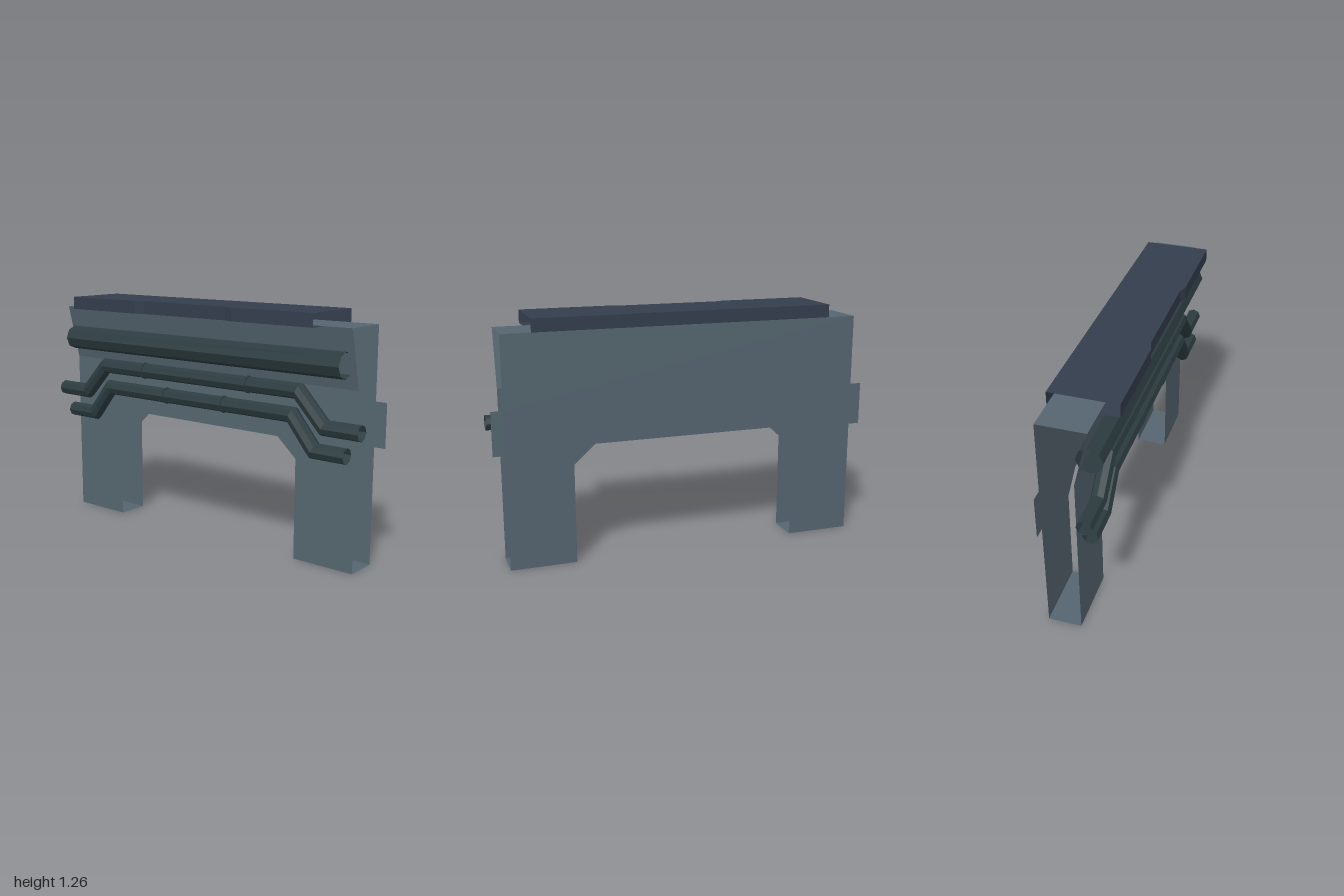
import * as THREE from 'three';

const paint = (color) => new THREE.MeshStandardMaterial({ color, flatShading: true, side: THREE.DoubleSide });
const SIDES = 8;
const BACK = -0.17, LIP = 0.07, TOP = 1.195, SLOPE = 0.9;

function add(group, name, geometry, material) {
  const mesh = new THREE.Mesh(geometry, material);
  mesh.name = name;
  group.add(mesh);
  return mesh;
}

// Flat sheet in the xy plane from half an outline (x > 0), mirrored to the other side
function sheet(half, z) {
  const mirrored = half.map(([x, y]) => [-x, y]).reverse();
  const shape = new THREE.Shape([...half, ...mirrored].map(([x, y]) => new THREE.Vector2(x, y)));
  return new THREE.ShapeGeometry(shape).translate(0, 0, z);
}

// Ruled strip between two rows of points
function strip(rowA, rowB) {
  const pos = [], index = [], n = rowA.length;
  [...rowA, ...rowB].forEach((p) => pos.push(...p));
  for (let i = 0; i < n - 1; i++) index.push(i, i + 1, n + i, i + 1, n + i + 1, n + i);
  const g = new THREE.BufferGeometry();
  g.setAttribute('position', new THREE.Float32BufferAttribute(pos, 3));
  g.setIndex(index);
  g.computeVertexNormals();
  return g;
}

// Open octagonal pipe along a path in the xy plane, with mitred bends
function pipe(points, radius, z) {
  const path = points.map(([x, y]) => new THREE.Vector2(x, y));
  const pos = [], index = [];
  path.forEach((p, i) => {
    const into = p.clone().sub(path[Math.max(i - 1, 0)]).normalize();
    const out = path[Math.min(i + 1, path.length - 1)].clone().sub(p).normalize();
    const t = into.clone().add(out).normalize();
    const cos = i === 0 || i === path.length - 1 ? 1 : t.dot(out);
    for (let k = 0; k < SIDES; k++) {
      const a = (k / SIDES) * Math.PI * 2;
      const u = (Math.cos(a) * radius) / cos;
      pos.push(p.x - t.y * u, p.y + t.x * u, z + Math.sin(a) * radius);
      if (i > 0) {
        const k2 = (k + 1) % SIDES, r0 = (i - 1) * SIDES, r1 = i * SIDES;
        index.push(r0 + k, r0 + k2, r1 + k, r0 + k2, r1 + k2, r1 + k);
      }
    }
  });
  const g = new THREE.BufferGeometry();
  g.setAttribute('position', new THREE.Float32BufferAttribute(pos, 3));
  g.setIndex(index);
  g.computeVertexNormals();
  return g;
}

export function createModel() {
  const model = new THREE.Group();
  model.name = 'archWall';
  const wall = paint(0x55656f), dark = paint(0x2c3c40), navy = paint(0x343d4d);

  // Front and back wall sheets, with the arch opening between the legs
  const arch = [[0.49, 0.62], [0.6, 0.52], [0.6, 0], [0.94, 0]];
  const tab = [[0.94, 0.6], [1, 0.6], [1, 0.825], [0.94, 0.825]];
  const body = new THREE.Group();
  body.name = 'body';
  model.add(body);
  add(body, 'frontWall', sheet([...arch, [0.94, SLOPE]], 0), wall);
  add(body, 'backWall', sheet([...arch, ...tab, [0.94, TOP]], BACK), wall);

  // Leaning upper front and the top; the ends stay open
  const row = (x, y, z) => [[-x, y, z], [x, y, z]];
  add(body, 'leaningPanel', strip(row(0.94, TOP, LIP), row(0.94, SLOPE, 0)), wall);
  add(body, 'topPanel', strip(row(0.94, TOP, BACK), row(0.94, TOP, LIP)), wall);

  // Feet under the legs
  for (const s of [-1, 1]) {
    const foot = (z) => [[s * 0.77 - 0.17, 0, z], [s * 0.77 + 0.17, 0, z]];
    add(body, 'foot', strip(foot(0), foot(BACK)), wall);
  }

  // Cap with a shallow recess along its front edge
  const cap = new THREE.Group();
  cap.name = 'cap';
  model.add(cap);
  const front = [[-0.79, 0.167], [-0.32, 0.167], [-0.27, 0.15], [0.27, 0.15], [0.32, 0.167], [0.79, 0.167]];
  const edge = (y, z) => front.map(([x, zf]) => [x, y, z ?? zf]);
  const capTop = 1.262;
  add(cap, 'capTop', strip(edge(capTop, BACK), edge(capTop)), navy);
  add(cap, 'capFront', strip(edge(capTop), edge(TOP)), navy);
  add(cap, 'capUnderside', strip(edge(TOP), edge(TOP, LIP)), navy);
  add(cap, 'capBack', strip(edge(TOP, BACK), edge(capTop, BACK)), navy);

  // Straight thick pipe and two bent pipes with joint rings
  add(model, 'thickPipe', pipe([[-0.905, 1.02], [0.905, 1.02]], 0.065, 0.06), dark);
  const bent = [
    { name: 'upperPipe', end: 1, low: 0.8, high: 0.65, y: 0.715, ring: 0.35 },
    { name: 'lowerPipe', end: 0.925, low: 0.745, high: 0.615, y: 0.595, ring: 0.195 },
  ];
  for (const { name, end, low, high, y, ring } of bent) {
    const half = [[end, y], [low, y], [high, y + 0.16]];
    const path = [...half.map(([x, py]) => [-x, py]), ...half.reverse()];
    add(model, name, pipe(path, 0.04, 0.06), dark);
    for (const s of [-1, 1]) {
      const g = new THREE.CylinderGeometry(0.045, 0.045, 0.012, SIDES).rotateZ(Math.PI / 2);
      add(model, 'jointRing', g, dark).position.set(s * ring, y + 0.16, 0.06);
    }
  }
  return model;
}
